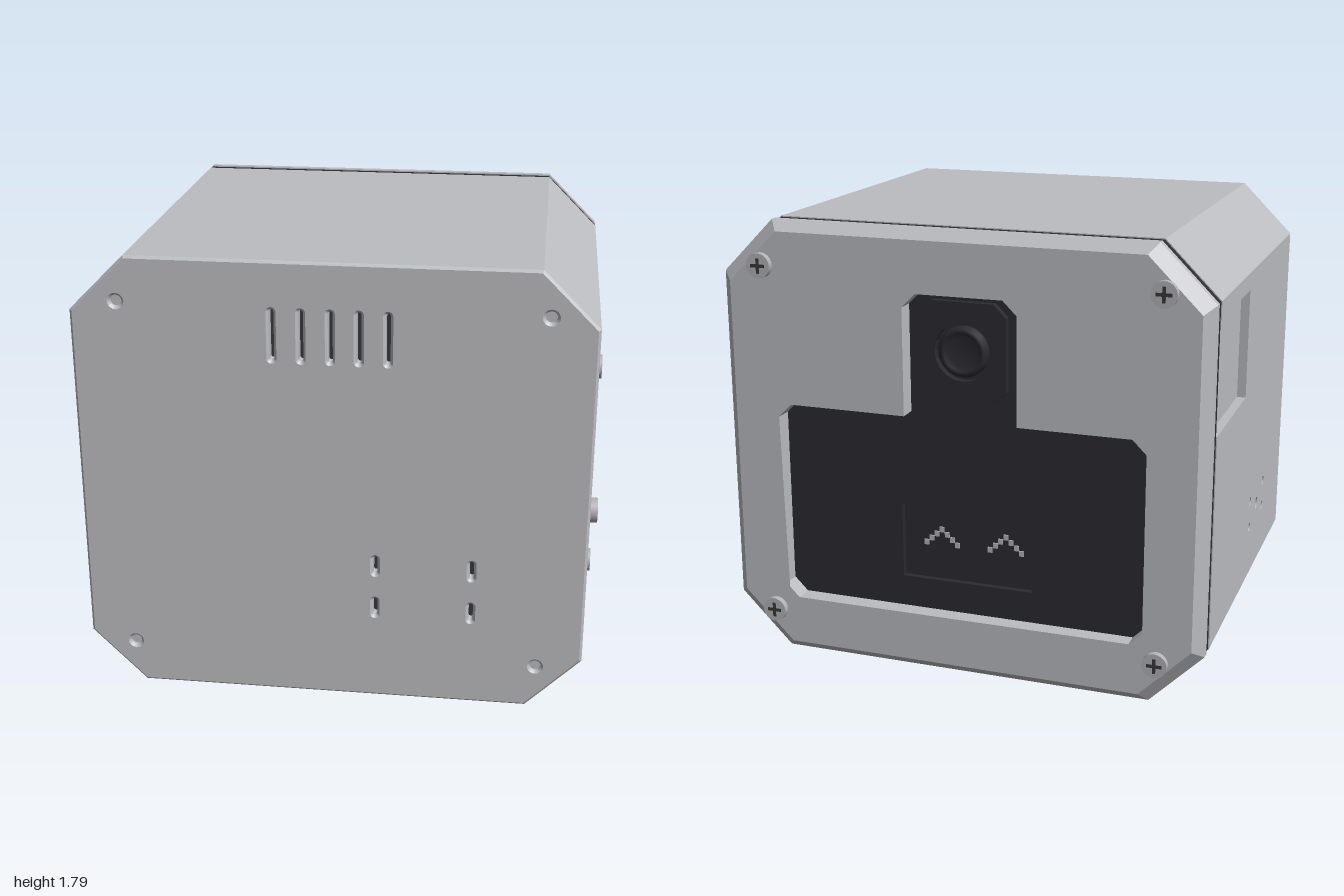
import * as THREE from 'three';

const XL = -1, XR = 0.97, H = 1.795, C = 0.215, T = 0.05;
const ZF = 0.815, ZB = -0.68;

// Corners of the chamfered outline, counter-clockwise, moved inward by t
function octagon(t = 0) {
  const l = XL + t, r = XR - t, b = t, h = H - t, c = C - 0.586 * t;
  return [[r - c, b], [r, b + c], [r, h - c], [r - c, h], [l + c, h], [l, h - c], [l, b + c], [l + c, b]]
    .map(([x, y]) => new THREE.Vector2(x, y));
}
const pts = (list) => list.map(([x, y]) => new THREE.Vector2(x, y));
const rect = (x0, y0, x1, y1) => pts([[x0, y0], [x1, y0], [x1, y1], [x0, y1]]);
const circle = (x, y, r) => new THREE.Path().absarc(x, y, r, 0, Math.PI * 2, true);

// Upright slot with rounded ends
function slot(x, y, w, h) {
  const r = w / 2, s = h / 2 - r, p = new THREE.Path();
  p.absarc(x, y + s, r, 0, Math.PI, false);
  p.absarc(x, y - s, r, Math.PI, Math.PI * 2, false);
  p.closePath();
  return p;
}
function extrude(points, holes, depth, extra = {}) {
  const shape = new THREE.Shape(points);
  shape.holes.push(...holes);
  return new THREE.ExtrudeGeometry(shape, { depth, bevelEnabled: false, curveSegments: 10, ...extra });
}

export function createModel() {
  const group = new THREE.Group();
  const paint = (name, color) => {
    const m = new THREE.MeshStandardMaterial({ color });
    m.name = name;
    return m;
  };
  const grey = paint('casing grey', 0xbcbdc1);
  const black = paint('panel black', 0x2b2a30);
  const dark = paint('interior dark', 0x38383d);
  const metal = paint('screw grey', 0xb4b4b8);
  const add = (name, geo, mat, x = 0, y = 0, z = 0) => {
    const m = new THREE.Mesh(geo, mat);
    m.name = name;
    m.position.set(x, y, z);
    group.add(m);
    return m;
  };
  const screwSpots = [];
  for (const x of [-0.82, 0.79]) for (const y of [0.18, 1.62]) screwSpots.push([x, y]);

  // Front wall with vents, small slots and screw recesses
  const frontHoles = [-0.235, -0.125, -0.015, 0.092, 0.2].map((x) => slot(x, 1.51, 0.038, 0.22));
  for (const x of [0.155, 0.53]) for (const y of [0.4, 0.582]) frontHoles.push(slot(x, y, 0.038, 0.095));
  screwSpots.forEach(([x, y]) => frontHoles.push(circle(x, y, 0.032)));
  add('frontWall', extrude(octagon(0.01), frontHoles, 0.04,
    { bevelEnabled: true, bevelSize: 0.01, bevelThickness: 0.01, bevelSegments: 1 }), grey, 0, 0, ZF - 0.05);
  for (const [x, y] of screwSpots) {
    add('frontScrewRecess', new THREE.CylinderGeometry(0.034, 0.034, 0.02, 20).rotateX(Math.PI / 2), grey, x, y, ZF - 0.03);
  }

  // Eight side walls: u runs along the outline, v along z
  const GZ = 0.25, GY = 0.81, GR = 0.385;
  const corners = octagon();
  corners.forEach((p, i) => {
    const q = corners[(i + 1) % 8];
    const len = p.distanceTo(q);
    const d = new THREE.Vector3(q.x - p.x, q.y - p.y, 0).normalize();
    const n = new THREE.Vector3(d.y, -d.x, 0);
    let outline = rect(0, ZB, len, ZF - 0.01);
    const holes = [];
    if (i === 1) holes.push(circle(GY - p.y, GZ, GR));
    if (i === 5) {
      // Notch open to the back edge, and a group of small holes
      const a = p.y - 1.51, b = p.y - 1.07;
      outline = pts([[0, ZB], [a, ZB], [a, -0.13], [b, -0.13], [b, ZB], [len, ZB], [len, ZF - 0.01], [0, ZF - 0.01]]);
      for (const z of [0.09, 0.38]) for (const y of [0.435, 0.55]) holes.push(circle(p.y - y, z, 0.02));
      holes.push(circle(p.y - 0.495, 0.235, 0.026));
    }
    const geo = extrude(outline, holes, T, { curveSegments: 32 });
    geo.applyMatrix4(new THREE.Matrix4().makeBasis(d, new THREE.Vector3(0, 0, 1), n)
      .setPosition(p.x - n.x * T, p.y - n.y * T, 0));
    add(i === 1 ? 'leftWall' : i === 5 ? 'rightWall' : 'sideWall', geo, grey);
  });
  add('notchFloor', new THREE.BoxGeometry(0.02, 0.46, 0.56), grey, XL + 0.045, 1.29, -0.4);

  // Dark liner behind the openings
  add('liner', extrude(octagon(T + 0.002), [], ZF - 0.052 - ZB), dark, 0, 0, ZB);

  // Perforated round grille
  const grilleHoles = [];
  for (let r = -4; r <= 4; r++) {
    const half = Math.abs(r) === 4 ? 2 : Math.abs(r) === 3 ? 3 : 4;
    for (let c = -half; c <= half; c++) grilleHoles.push(circle(c * 0.072, r * 0.072, 0.026));
  }
  const disc = circle(0, 0, GR - 0.002).getPoints(32);
  add('grille', extrude(disc, grilleHoles, 0.036, { curveSegments: 7 }).rotateY(Math.PI / 2), grey, XR - T, GY, GZ);
  for (let k = 0; k < 4; k++) {
    const a = k * Math.PI / 2;
    add('grilleKnob', new THREE.CylinderGeometry(0.048, 0.048, 0.05, 24).rotateZ(Math.PI / 2), metal,
      0.975, GY + 0.432 * Math.sin(a), GZ + 0.432 * Math.cos(a));
  }

  // Black gasket plate, with a window for the display
  const screen = rect(-0.295, 0.365, 0.25, 0.675);
  add('gasketPanel', extrude(octagon(0.004), [new THREE.Path(screen)], 0.04), black, 0, 0, -0.72);
  add('display', new THREE.BoxGeometry(0.56, 0.33, 0.01), black, -0.022, 0.52, -0.69);
  // Stepped chevron eyes
  for (const x of [0.09, -0.18]) {
    for (let k = -3; k <= 3; k++) {
      add('eyePixel', new THREE.BoxGeometry(0.019, 0.022, 0.008), metal, x + k * 0.022, 0.575 - Math.abs(k) * 0.02, -0.697);
    }
  }

  // Back bezel: chamfered ring around the panel cutout
  const k = 0.055;
  const cutout = pts([
    [0.74 - k, 0.24], [0.74, 0.24 + k], [0.74, 1.065 - k], [0.74 - k, 1.065], [0.2, 1.065], [0.2, 1.55 - k],
    [0.2 - k, 1.55], [-0.26 + k, 1.55], [-0.26, 1.55 - k], [-0.26, 1.065], [-0.765 + k, 1.065],
    [-0.765, 1.065 - k], [-0.765, 0.24 + k], [-0.765 + k, 0.24]]);
  const cx = (XL + XR) / 2, cy = H / 2;
  const ring = () => extrude(octagon(), [new THREE.Path(cutout)], 1);
  const base = ring().scale(1, 1, 0.03);
  add('bezelBase', base, grey, 0, 0, -0.755);
  const taper = ring().scale(1, 1, 0.045);
  const pos = taper.attributes.position;
  for (let i = 0; i < pos.count; i++) {
    const dx = pos.getX(i) - cx, dy = pos.getY(i) - cy;
    const outer = Math.abs(dx) > 0.98 || Math.abs(dy) > 0.89;
    if (outer && pos.getZ(i) < 0.01) pos.setXY(i, cx + dx * 0.957, cy + dy * 0.955);
  }
  taper.computeVertexNormals();
  add('bezelChamfer', taper, grey, 0, 0, -0.8);

  // Cross-head screws on the bezel
  for (const [x, y] of screwSpots) {
    add('bezelScrew', new THREE.CylinderGeometry(0.05, 0.05, 0.026, 24).rotateX(Math.PI / 2), metal, x, y, -0.812);
    add('screwCross', new THREE.BoxGeometry(0.06, 0.013, 0.004), dark, x, y, -0.825);
    add('screwCross', new THREE.BoxGeometry(0.013, 0.06, 0.004), dark, x, y, -0.825);
  }

  // Camera module: chamfered plate with stepped round lens
  const e = 0.05, l = -0.2, r = 0.15, b = 1.13, t = 1.52;
  add('cameraPlate', extrude(pts([[l + e, b], [r - e, b], [r, b + e], [r, t - e], [r - e, t], [l + e, t], [l, t - e], [l, b + e]]),
    [circle(-0.025, 1.325, 0.115)], 0.03), black, 0, 0, -0.748);
  const lens = new THREE.LatheGeometry(pts([[0, 0.02], [0.06, 0.02], [0.075, 0.032], [0.09, 0.032], [0.1, 0.02], [0.1, 0]]).reverse(), 32);
  add('cameraLens', lens.rotateX(-Math.PI / 2), black, -0.025, 1.325, -0.72);

  return group;
}
